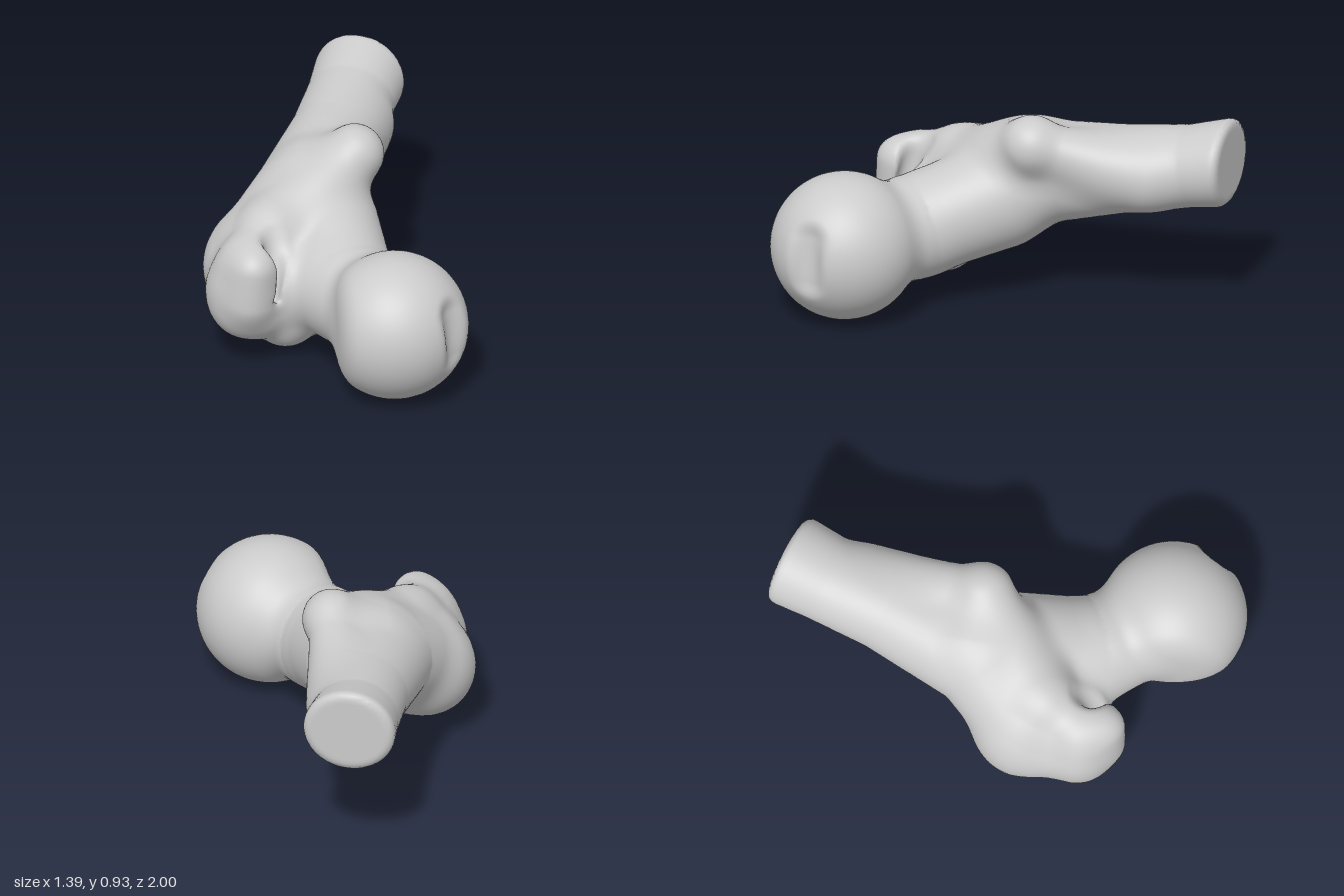
import * as THREE from 'three';

const CELL = 0.02;
const MIN = [-0.8, -0.06, -1.06];
const COUNT = [80, 54, 106];

// Two side-by-side copies give the shaft its oval section
const shaftLine = [
  [-0.366, 0.758, -1.1, 0.2], [-0.35, 0.695, -0.8, 0.179], [-0.32, 0.65, -0.5, 0.191],
  [-0.30, 0.565, 0, 0.235], [-0.40, 0.43, 0.25, 0.22],
];
const shaftLimbs = [-0.028, 0.028].map((dx) => shaftLine.map(([x, y, z, r]) => [x + dx, y, z, r]));

// Each part is one or more limbs: chains of [x, y, z, radius].
// merge is the fillet between its limbs, blend the fillet to the other parts;
// cut is a plane [nx, ny, nz, offset, rounding] that trims the part.
const PARTS = [
  { name: 'shaft', merge: 0.06, blend: 0.05, limbs: shaftLimbs, cut: [0, 0, -1, 1, 0.05] },
  { name: 'greaterTrochanter', merge: 0.1, blend: 0.08, limbs: [
    [[-0.27, 0.195, 0.40, 0.145], [-0.46, 0.35, 0.30, 0.21], [-0.37, 0.56, 0.36, 0.155]],
    [[-0.27, 0.20, 0.40, 0.14], [-0.30, 0.49, 0, 0.165]],
    [[-0.46, 0.35, 0.30, 0.21], [-0.415, 0.36, 0.53, 0.185]],
    [[-0.40, 0.29, 0.56, 0.155], [-0.385, 0.49, 0.56, 0.155]],
    [[-0.35, 0.36, 0.68, 0.06], [-0.335, 0.53, 0.67, 0.07]],
  ] },
  { name: 'neck', merge: 0.08, blend: 0.09, limbs: [
    [[-0.18, 0.485, 0.10, 0.26], [0.03, 0.365, 0.405, 0.233], [0.28, 0.35, 0.60, 0.24]],
    [[-0.24, 0.36, 0.37, 0.185], [0.03, 0.36, 0.42, 0.22]],
  ] },
  { name: 'lesserTrochanter', merge: 0.08, blend: 0.1, limbs: [
    [[-0.09, 0.805, -0.09, 0.115], [-0.32, 0.58, 0.26, 0.135]],
    [[-0.11, 0.79, -0.14, 0.11], [-0.235, 0.655, -0.62, 0.13]],
    [[-0.11, 0.785, -0.10, 0.105], [-0.27, 0.685, -0.05, 0.15]],
  ] },
  { name: 'head', merge: 0.01, blend: 0.05, cut: [-0.9, 0, 0.45, 0.266, 0.08], limbs: [
    [[0.347, 0.351, 0.655, 0.346], [0.347, 0.352, 0.655, 0.346]],
  ] },
];

// Hollows: the pit behind the trochanter's lip and the dimple on the head
const HOLLOWS = [
  [[-0.27, 0.38, 0.61, 0.03], [-0.275, 0.66, 0.53, 0.055]],
  [[0.725, 0.28, 0.73, 0.085], [0.70, 0.49, 0.73, 0.085]],
];

function coneDistance(p, a, b) {
  const dx = b[0] - a[0], dy = b[1] - a[1], dz = b[2] - a[2];
  const px = p[0] - a[0], py = p[1] - a[1], pz = p[2] - a[2];
  const t = Math.min(1, Math.max(0, (px * dx + py * dy + pz * dz) / (dx * dx + dy * dy + dz * dz)));
  return Math.hypot(px - t * dx, py - t * dy, pz - t * dz) - (a[3] + t * (b[3] - a[3]));
}

function limbDistance(p, limb) {
  let d = Infinity;
  for (let i = 1; i < limb.length; i++) d = Math.min(d, coneDistance(p, limb[i - 1], limb[i]));
  return d;
}

function smoothMin(a, b, k) {
  const h = Math.max(k - Math.abs(a - b), 0) / k;
  return Math.min(a, b) - h * h * k / 4;
}
const smoothMax = (a, b, k) => -smoothMin(-a, -b, k);

function partDistance(p, { limbs, merge, cut }) {
  let d = 10;
  for (const limb of limbs) d = smoothMin(d, limbDistance(p, limb), merge);
  return cut ? smoothMax(d, cut[0] * p[0] + cut[1] * p[1] + cut[2] * p[2] - cut[3], cut[4]) : d;
}

// Signed distance to the whole blended bone
function field(p) {
  let d = 10;
  for (const part of PARTS) d = smoothMin(d, partDistance(p, part), part.blend);
  for (const hollow of HOLLOWS) d = smoothMax(d, -limbDistance(p, hollow), 0.05);
  return d;
}

function fieldNormal(p) {
  const slope = [0, 1, 2].map((axis) => {
    const a = [...p], b = [...p];
    a[axis] += 0.008;
    b[axis] -= 0.008;
    return field(a) - field(b);
  });
  return new THREE.Vector3(...slope).normalize().toArray();
}

function nearestPart(p) {
  const distances = PARTS.map((part) => partDistance(p, part));
  return distances.indexOf(Math.min(...distances));
}

// Skin over the blended form: one vertex per crossed grid cell,
// one quad per crossed grid edge, each quad given to its nearest part
function buildSkin() {
  const STEP = [1, COUNT[0], COUNT[0] * COUNT[1]];
  const place = (i) => [0, 1, 2].map((a) => MIN[a] + CELL * (Math.floor(i / STEP[a]) % COUNT[a]));
  const values = new Float32Array(STEP[2] * COUNT[2]).map((_, i) => field(place(i)));
  const positions = [], normals = [], owners = [];
  const cells = new Map();

  function cellVertex(cell) {
    if (cells.has(cell)) return cells.get(cell);
    const sum = [0, 0, 0];
    let crossings = 0;
    for (let corner = 0; corner < 8; corner++) {
      const offset = [corner & 1, (corner >> 1) & 1, corner >> 2];
      const from = cell + offset[0] * STEP[0] + offset[1] * STEP[1] + offset[2] * STEP[2];
      for (let a = 0; a < 3; a++) {
        if (offset[a]) continue;
        const v0 = values[from], v1 = values[from + STEP[a]];
        if ((v0 < 0) === (v1 < 0)) continue;
        const q = place(from);
        q[a] += CELL * v0 / (v0 - v1);
        q.forEach((value, k) => { sum[k] += value; });
        crossings++;
      }
    }
    let p = sum.map((s) => s / crossings);
    const n = fieldNormal(p), d = field(p);
    p = p.map((value, k) => value - d * n[k]);
    positions.push(...p);
    normals.push(...n);
    owners.push(nearestPart(p));
    cells.set(cell, owners.length - 1);
    return owners.length - 1;
  }

  const faces = PARTS.map(() => []);
  for (let i = 0; i < values.length - STEP[2]; i++) {
    for (let a = 0; a < 3; a++) {
      const inside = values[i] < 0;
      if (inside === values[i + STEP[a]] < 0) continue;
      const b = STEP[(a + 1) % 3], c = STEP[(a + 2) % 3];
      const quad = [i, i - b, i - b - c, i - c].map(cellVertex);
      if (!inside) quad.reverse();
      const [p, q, r, s] = quad;
      faces[owners[p]].push(p, q, r, p, r, s);
    }
  }
  return { positions, normals, faces };
}

export function createModel() {
  const model = new THREE.Group();
  model.name = 'thighBoneUpperEnd';
  const material = new THREE.MeshStandardMaterial({ color: 0xcccccc });
  const skin = buildSkin();
  const position = new THREE.Float32BufferAttribute(skin.positions, 3);
  const normal = new THREE.Float32BufferAttribute(skin.normals, 3);
  PARTS.forEach(({ name }, i) => {
    const geometry = new THREE.BufferGeometry();
    geometry.setAttribute('position', position);
    geometry.setAttribute('normal', normal);
    geometry.setIndex(skin.faces[i]);
    const mesh = new THREE.Mesh(geometry, material);
    mesh.name = name;
    model.add(mesh);
  });
  return model;
}
